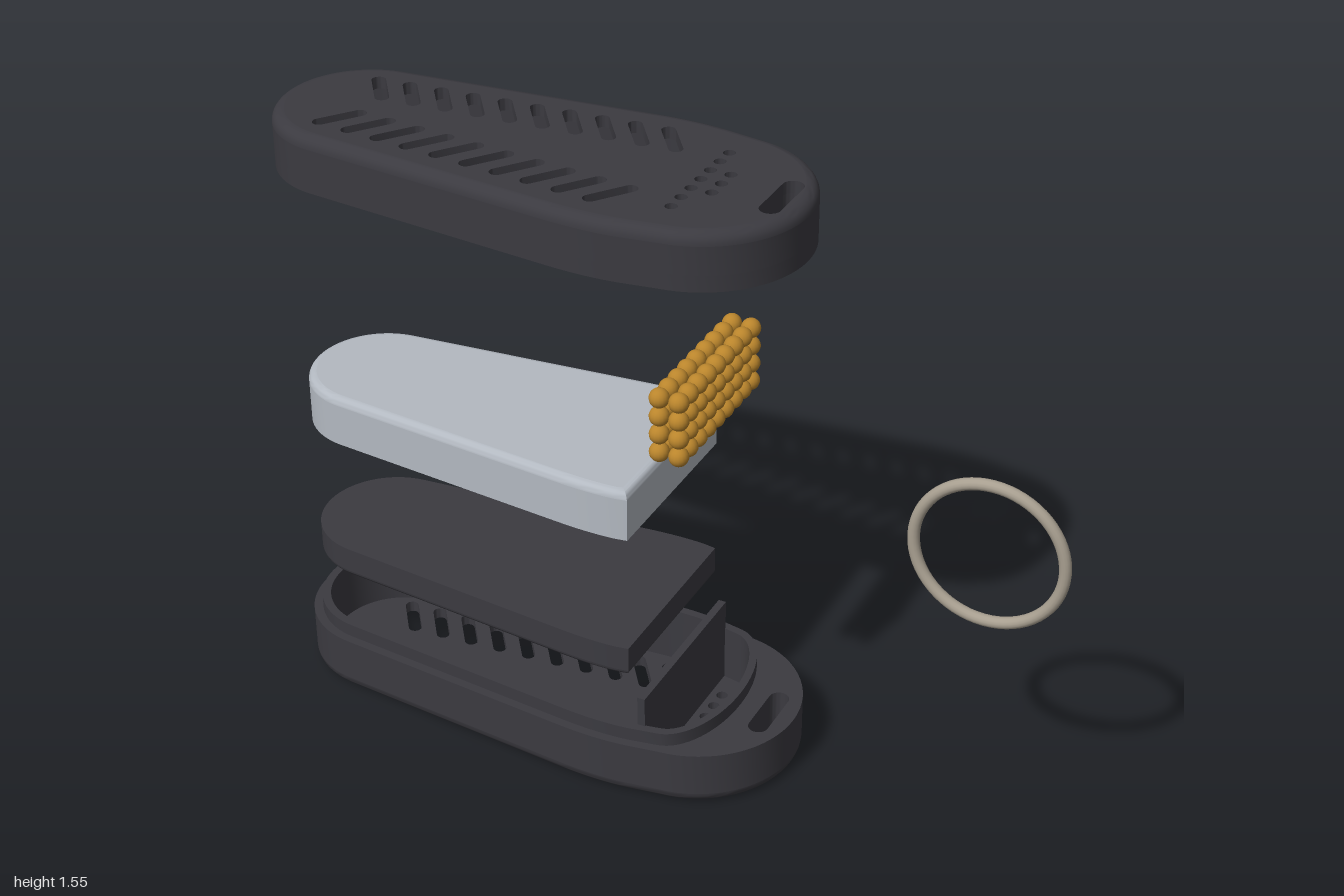
import * as THREE from 'three';
import { toCreasedNormals } from 'three/addons/utils/BufferGeometryUtils.js';

const material = (name, color) => {
  const m = new THREE.MeshStandardMaterial({ color });
  m.name = name;
  return m;
};

// Tapered outline inset by d. The wide end is an ellipse reaching `tip`, or is cut flat at `cut`.
function outline(d, tip, cut) {
  const half = [];
  if (cut === undefined) {
    for (let i = 0; i <= 16; i++) {
      const a = (i / 16) * 1.48;
      half.push([0.08 + (tip - 0.08) * Math.cos(a), (0.26 - d) * Math.sin(a)]);
    }
  } else half.push([cut, 0.271 - d]);
  const shoulder = new THREE.QuadraticBezierCurve(
    new THREE.Vector2(0.02, 0.272 - d), new THREE.Vector2(-0.06, 0.283 - d), new THREE.Vector2(-0.16, 0.274 - d));
  for (let i = cut === undefined ? 0 : 2; i <= 8; i++) half.push(shoulder.getPoint(i / 8).toArray());
  for (let i = 0; i <= 18; i++) {
    const a = 1.66 + (i / 18) * (Math.PI - 1.66);
    half.push([-0.785 + (0.215 - d) * Math.cos(a), i === 18 ? 0 : (0.215 - d) * Math.sin(a)]);
  }
  const mirrored = half.filter(p => p[1] > 0).reverse().map(([x, y]) => [x, -y]);
  return [...half, ...mirrored].map(p => new THREE.Vector2(...p));
}

// Flat slab of an outline, from y0 to y1
function slab(points, holes, y0, y1) {
  const shape = new THREE.Shape(points);
  shape.holes = holes;
  const g = new THREE.ExtrudeGeometry(shape, { depth: y1 - y0, bevelEnabled: false, curveSegments: 8 });
  g.rotateX(-Math.PI / 2).translate(0, y0, 0);
  return toCreasedNormals(g, 0.6);
}

// Rounded strip joining the side wall to the inset flat face
function roundedEdge(makeRing, r, y) {
  const pos = [], index = [], steps = 6;
  let n;
  for (let i = 0; i <= steps; i++) {
    const a = (i / steps) * Math.PI / 2;
    const ring = makeRing(r * (1 - Math.cos(a)));
    n = ring.length;
    for (const p of ring) pos.push(p.x, y + r * Math.sin(a), -p.y);
  }
  for (let i = 0; i < steps; i++) {
    for (let j = 0; j < n; j++) {
      const a = i * n + j, b = i * n + (j + 1) % n;
      index.push(a, b, b + n, a, b + n, a + n);
    }
  }
  const g = new THREE.BufferGeometry();
  g.setAttribute('position', new THREE.Float32BufferAttribute(pos, 3));
  g.setIndex(index);
  return toCreasedNormals(g, 0.6);
}

// Capsule-shaped hole; (dx, dy) runs from its centre to the centre of one rounded end
function capsule(x, y, dx, dy, r) {
  const a = Math.atan2(dy, dx), q = Math.PI / 2;
  const p = new THREE.Path();
  p.absarc(x + dx, y + dy, r, a - q, a + q, false);
  p.absarc(x - dx, y - dy, r, a + q, a + 3 * q, false);
  p.closePath();
  return p;
}

const keySlot = () => capsule(0.275, 0, 0, 0.06, 0.025);

// Chevron vents, speaker-like dots and the key slot
function faceHoles() {
  const holes = [keySlot()];
  for (let i = 0; i < 10; i++) {
    const t = i / 9;
    for (const s of [-1, 1]) {
      holes.push(capsule(-0.797 + 0.732 * t, s * (0.088 + 0.062 * t), 0.029, -s * 0.04, 0.017));
    }
  }
  for (const [x, count] of [[0.08, 7], [0.13, 3]]) {
    for (let i = 0; i < count; i++) {
      const p = new THREE.Path();
      p.absarc(x, (i - (count - 1) / 2) * 0.0485, 0.0145, 0, Math.PI * 2, false);
      holes.push(p);
    }
  }
  return holes;
}

export function createModel() {
  const dark = material('charcoal', 0x3b3a40);
  const silver = material('pale silver', 0xb3b9c1);
  const gold = material('amber', 0xba852c);
  const steel = material('warm metal', 0xa89f90);

  const model = new THREE.Group();
  model.name = 'explodedCase';
  const add = (parent, name, geometry, mat) => {
    const m = new THREE.Mesh(geometry, mat);
    m.name = name;
    parent.add(m);
    return m;
  };
  const group = name => {
    const g = new THREE.Group();
    g.name = name;
    model.add(g);
    return g;
  };

  // Case half: open at local y = 0, vented face at y = h
  const R = 0.03, TIP = 0.342;
  const cavity = (d, tip) => new THREE.Path(outline(d, tip));
  function caseHalf(name, h, rebate) {
    const g = group(name);
    const outer = outline(0, TIP);
    if (rebate) add(g, 'rebatedRim', slab(outer, [cavity(0.021, 0.203), keySlot()], 0, rebate), dark);
    add(g, 'wall', slab(outer, [cavity(0.045, 0.18), keySlot()], rebate, h - R), dark);
    add(g, 'ventedFace', slab(outline(R, TIP - R), faceHoles(), h - R, h), dark);
    add(g, 'roundedEdge', roundedEdge(d => outline(d, TIP - d), R, h - R), dark);
    return g;
  }

  const topCase = caseHalf('topCase', 0.14, 0.04);
  topCase.position.y = 1.41;

  const bottomCase = caseHalf('bottomCase', 0.145, 0);
  bottomCase.rotation.x = Math.PI;
  bottomCase.position.y = 0.145;
  add(model, 'lip', slab(outline(0.023, 0.2), [cavity(0.045, 0.18)], 0.145, 0.18), dark);
  add(model, 'divider', new THREE.BoxGeometry(0.02, 0.23, 0.45), dark).position.set(0.04, 0.145, 0);

  // Solid inserts with one rounded side
  function insert(name, height, r, mat) {
    const g = group(name), ring = d => outline(0.035 + d, 0, 0.013 - d);
    add(g, 'body', slab(ring(0), [], 0, height - r), mat);
    add(g, 'face', slab(ring(r), [], height - r, height), mat);
    add(g, 'roundedEdge', roundedEdge(ring, r, height - r), mat);
    return g;
  }
  insert('upperInsert', 0.13, 0.02, silver).position.y = 0.715;
  const lower = insert('lowerInsert', 0.08, 0.015, dark);
  lower.rotation.x = Math.PI;
  lower.position.y = 0.406;

  // Block of small beads
  const beads = group('beads');
  const bead = new THREE.SphereGeometry(0.024, 16, 12);
  for (let i = 0; i < 2; i++) {
    for (let j = 0; j < 4; j++) {
      for (let k = 0; k < 9; k++) {
        add(beads, 'bead', bead, gold).position.set(0.078 + i * 0.049, 0.957 + j * 0.047, -0.176 + k * 0.047);
      }
    }
  }

  // Key ring
  add(model, 'keyRing', new THREE.TorusGeometry(0.181, 0.0145, 14, 64), steel).position.set(0.804, 0.777, 0);
  return model;
}
